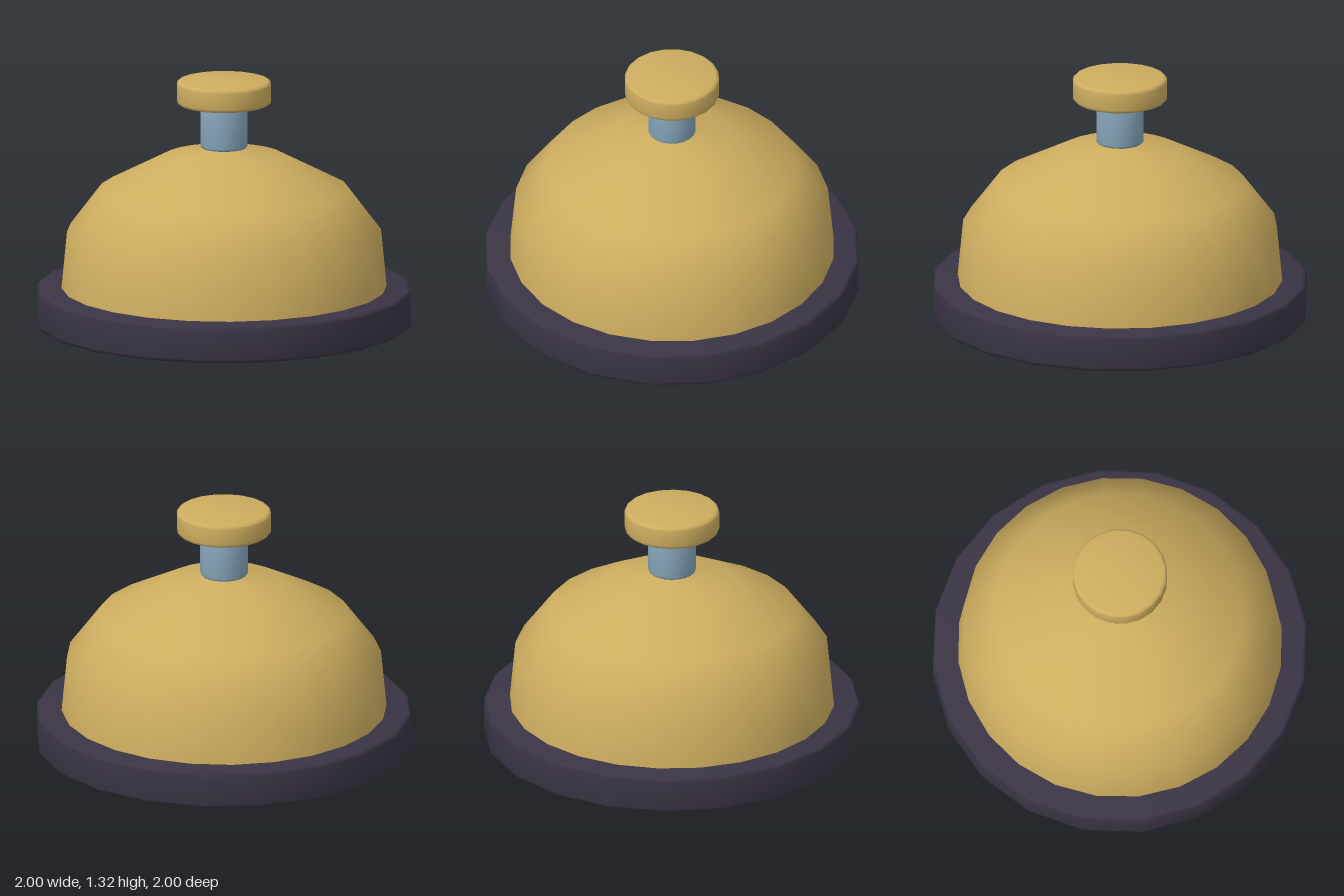
import * as THREE from 'three';
import { toCreasedNormals } from 'three/addons/utils/BufferGeometryUtils.js';

const material = (color) => new THREE.MeshStandardMaterial({ color });
const brass = material(0xcdad5f);
const steel = material(0x86a5bb);
const dark = material(0x3a3444);

// Lathed disc with small rounded rims, standing on y0
function disc(name, radius, y0, y1, bevel, mat) {
  const points = [new THREE.Vector2(0, y0)];
  const steps = 3;
  for (const [cy, start] of [[y0 + bevel, -Math.PI / 2], [y1 - bevel, 0]]) {
    for (let i = 0; i <= steps; i++) {
      const a = start + (i / steps) * Math.PI / 2;
      points.push(new THREE.Vector2(radius - bevel + bevel * Math.cos(a), cy + bevel * Math.sin(a)));
    }
  }
  points.push(new THREE.Vector2(0, y1));
  const geometry = toCreasedNormals(new THREE.LatheGeometry(points, 20), 0.6);
  const mesh = new THREE.Mesh(geometry, mat);
  mesh.name = name;
  return mesh;
}

export function createModel() {
  const group = new THREE.Group();
  group.name = 'deskBell';

  // Round base plate
  group.add(disc('base', 1, 0, 0.2, 0.02, dark));

  // Smooth bell dome with a coarse profile
  const profile = [[0.865, 0.19], [0.835, 0.505], [0.665, 0.73], [0.32, 0.91], [0, 0.96]]
    .map(([r, y]) => new THREE.Vector2(r, y));
  const dome = new THREE.Mesh(new THREE.LatheGeometry(profile, 24), brass);
  dome.name = 'dome';
  group.add(dome);

  // Plunger post and push button
  group.add(disc('post', 0.127, 0.957, 1.21, 0.015, steel));
  group.add(disc('button', 0.252, 1.195, 1.322, 0.02, brass));

  return group;
}
